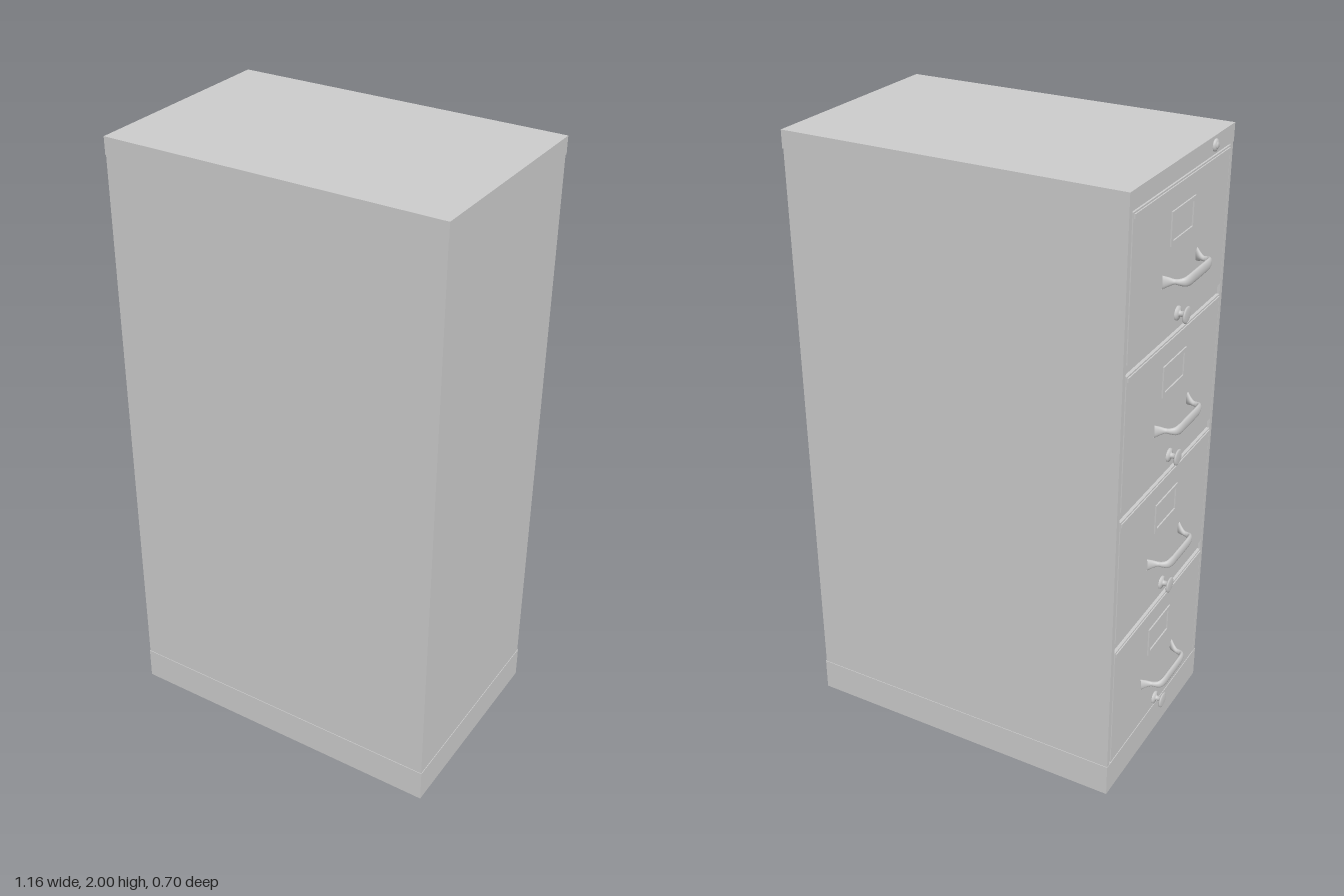
import * as THREE from 'three';

const material = new THREE.MeshStandardMaterial({ color: 0xcccccc, side: THREE.DoubleSide });

function add(parent, name, geometry, x = 0, y = 0, z = 0) {
  const mesh = new THREE.Mesh(geometry, material);
  mesh.name = name;
  mesh.position.set(x, y, z);
  parent.add(mesh);
  return mesh;
}

// Box given by its limits on each axis
function box(parent, name, x0, x1, y0, y1, z0, z1) {
  return add(parent, name, new THREE.BoxGeometry(x1 - x0, y1 - y0, z1 - z0),
    (x0 + x1) / 2, (y0 + y1) / 2, (z0 + z1) / 2);
}

function rectangle(Type, w, h) {
  const s = new Type();
  s.moveTo(-w / 2, -h / 2);
  s.lineTo(w / 2, -h / 2);
  s.lineTo(w / 2, h / 2);
  s.lineTo(-w / 2, h / 2);
  s.closePath();
  return s;
}

// Flat rectangular frame with a bevelled edge, lying in the xy plane
function frameGeometry(w, h, border, depth) {
  const shape = rectangle(THREE.Shape, w, h);
  shape.holes.push(rectangle(THREE.Path, w - 2 * border, h - 2 * border));
  return new THREE.ExtrudeGeometry(shape, { depth, bevelEnabled: false });
}

// Turned part with its axis along z; points are [radius, distance out]
function turned(points) {
  return new THREE.LatheGeometry(points.map(p => new THREE.Vector2(...p)), 28).rotateX(Math.PI / 2);
}

// Bow handle: oval section swept along a bowed path, flaring at feet and grip.
// Each point is x, half height, distance out.
function handleGeometry() {
  const half = [
    [-0.121, 0.021, -0.001], [-0.108, 0.014, 0.013], [-0.099, 0.008, 0.027],
    [-0.096, 0.009, 0.038], [-0.088, 0.013, 0.051], [-0.070, 0.017, 0.057], [-0.035, 0.018, 0.058],
  ];
  const pts = [...half, ...half.map(([x, h, z]) => [-x, h, z]).reverse()];
  const curve = new THREE.CatmullRomCurve3(pts.map(p => new THREE.Vector3(...p)));
  const steps = 48, sides = 14, positions = [], index = [];
  for (let i = 0; i <= steps; i++) {
    const p = curve.getPoint(i / steps);
    const t = curve.getTangent(i / steps).setY(0).normalize();
    for (let k = 0; k < sides; k++) {
      const a = k / sides * Math.PI * 2;
      const n = Math.cos(a) * 0.0075;
      positions.push(p.x - t.z * n, Math.sin(a) * p.y, p.z + t.x * n);
      if (i === steps) continue;
      const k2 = (k + 1) % sides, r = i * sides, r2 = r + sides;
      index.push(r + k, r2 + k, r + k2, r + k2, r2 + k, r2 + k2);
    }
  }
  const g = new THREE.BufferGeometry();
  g.setAttribute('position', new THREE.Float32BufferAttribute(positions, 3));
  g.setIndex(index);
  g.computeVertexNormals();
  return g;
}

export function createModel() {
  const model = new THREE.Group();
  model.name = 'filingCabinet';

  // Built with the drawers towards +z, then turned so that they face -x
  const cabinet = new THREE.Group();
  cabinet.name = 'cabinet';
  cabinet.rotation.y = -Math.PI / 2;
  model.add(cabinet);

  const W = 0.35, F = 0.515, B = -0.578, t = 0.006, inset = 0.002;
  const baseTop = 0.11, capBottom = 1.945;

  // Case: sides, back and top cap
  for (const s of [-1, 1]) {
    const x = s * (W - inset - t / 2);
    box(cabinet, 'sidePanel', x - t / 2, x + t / 2, baseTop, capBottom, B + inset, F - 0.001);
    const stile = s * (W - 0.011);
    box(cabinet, 'frontStile', stile - 0.009, stile + 0.009, baseTop, capBottom, F - 0.03, F - 0.001);
  }
  box(cabinet, 'backPanel', -W + inset, W - inset, baseTop, capBottom, B + inset, B + inset + t);
  box(cabinet, 'topCap', -W, W, capBottom, 2, B, F);

  // Open plinth, visible from below
  for (const s of [-1, 1]) {
    const x = s * (W - t / 2);
    box(cabinet, 'plinthSide', x - t / 2, x + t / 2, 0, baseTop, B, F);
  }
  box(cabinet, 'plinthFront', -W, W, 0, baseTop, F - t, F);
  box(cabinet, 'plinthBack', -W, W, 0, baseTop, B, B + t);
  box(cabinet, 'bottomRail', -W + t, W - t, baseTop, 0.146, F - 0.025, F - 0.01);

  // Lock in the top cap
  const lock = turned([[0, 0.010], [0.008, 0.010], [0.008, 0.007], [0.012, 0.007], [0.018, 0.004], [0.019, -0.002]]);
  add(cabinet, 'lock', lock, 0.205, 1.972, F);

  const handle = handleGeometry();
  const label = frameGeometry(0.16, 0.1, 0.013, 0.005);
  const knob = turned([
    [0, 0.034], [0.020, 0.034], [0.026, 0.031], [0.026, 0.028], [0.020, 0.026], [0.009, 0.024],
    [0.008, 0.010], [0.012, 0.007], [0.021, 0.005], [0.022, -0.002],
  ]);

  // Four identical drawers with rails between them
  for (let i = 0; i < 4; i++) {
    const drawer = new THREE.Group();
    drawer.name = 'drawer';
    drawer.position.y = 0.115 + i * 0.465;
    cabinet.add(drawer);

    box(drawer, 'drawerBody', -0.34, 0.34, 0.031, 0.39, -0.26, F - 0.02);
    box(drawer, 'drawerFront', -0.325, 0.325, 0, 0.43, F - 0.02, F);
    box(drawer, 'drawerTopLip', -0.322, 0.322, 0.412, 0.425, F - 0.005, F + 0.004);
    add(drawer, 'labelHolder', label, 0, 0.305, F - 0.0005);
    add(drawer, 'handle', handle, 0, 0.165, F + 0.0005);
    add(drawer, 'latchKnob', knob, 0, 0.028, F);
    if (i < 3) box(drawer, 'rail', -0.33, 0.33, 0.42, 0.475, F - 0.025, F - 0.01);
  }
  return model;
}
